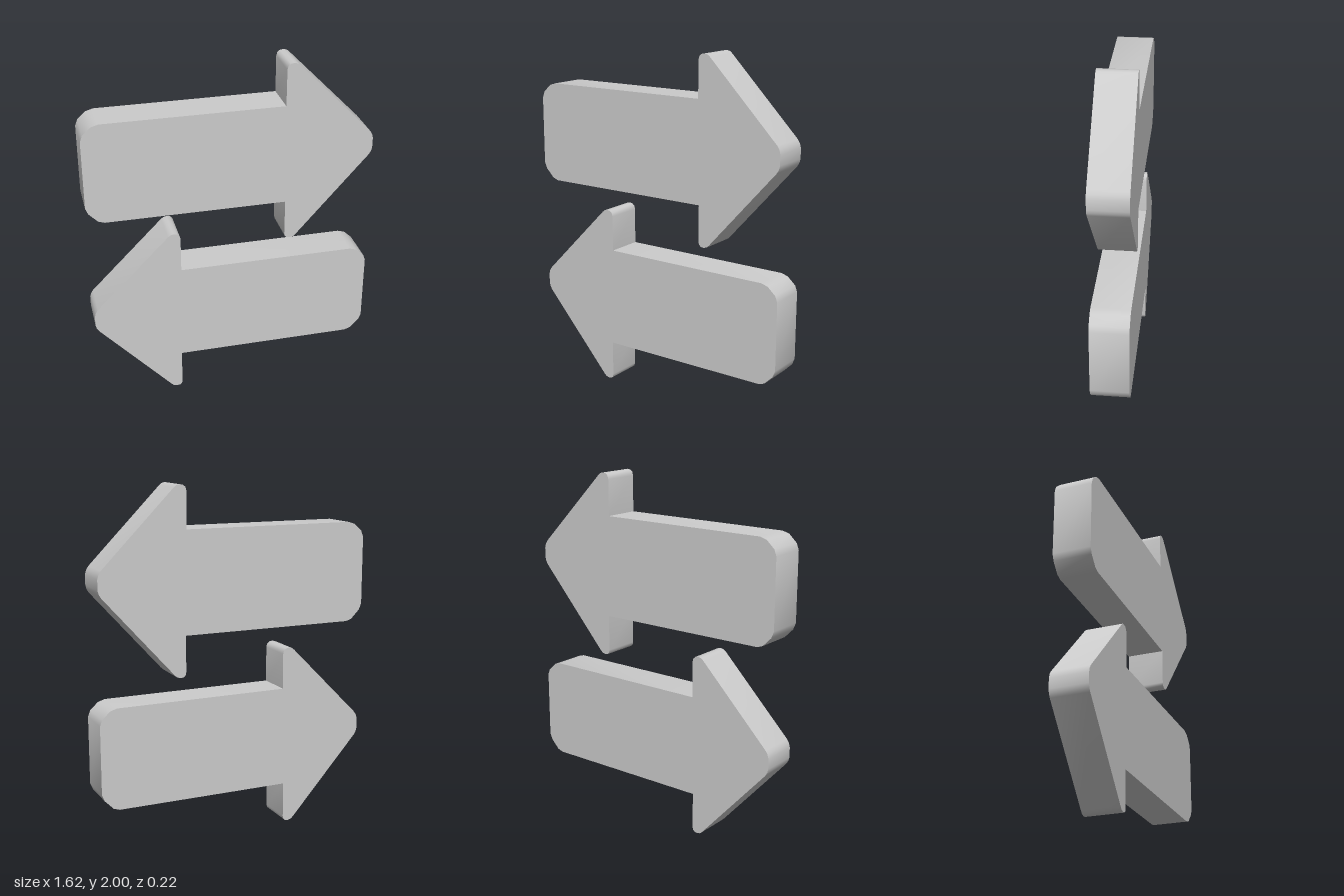
import * as THREE from 'three';
import { toCreasedNormals } from 'three/addons/utils/BufferGeometryUtils.js';

const DEPTH = 0.215;

// Outline of the arrow pointing to +x, clockwise from the lower left of the shaft
const OUTLINE = [
  // softened shaft end
  [-0.71, 1.18], [-0.745, 1.192], [-0.795, 1.243], [-0.81, 1.28],
  [-0.81, 1.67], [-0.797, 1.705], [-0.75, 1.748], [-0.71, 1.76],
  // upper barb
  [0.296, 1.76], [0.296, 1.965], [0.301, 1.985], [0.315, 1.997], [0.335, 2], [0.353, 1.996], [0.367, 1.985],
  // blunt tip
  [0.782, 1.565], [0.795, 1.545], [0.802, 1.52], [0.802, 1.462], [0.796, 1.44], [0.784, 1.42],
  // lower barb
  [0.375, 0.964], [0.36, 0.95], [0.34, 0.945], [0.322, 0.947], [0.31, 0.957], [0.306, 0.975], [0.306, 1.18],
];

// Extruded arrow; direction -1 mirrors it to point to -x
function makeArrow(name, direction, lift) {
  const points = OUTLINE.map(([x, y]) => new THREE.Vector2(x * direction, y + lift));
  const geometry = new THREE.ExtrudeGeometry(new THREE.Shape(points), { depth: DEPTH, bevelEnabled: false });
  geometry.translate(0, 0, -DEPTH / 2);
  const mesh = new THREE.Mesh(
    toCreasedNormals(geometry, THREE.MathUtils.degToRad(50)),
    new THREE.MeshStandardMaterial({ color: 0xcccccc }),
  );
  mesh.name = name;
  return mesh;
}

export function createModel() {
  const group = new THREE.Group();
  group.name = 'oppositeArrows';
  group.add(makeArrow('upperArrow', 1, 0));
  group.add(makeArrow('lowerArrow', -1, -0.942));
  // rest the lowest point on the ground
  group.children[1].geometry.translate(0, -0.003, 0);
  return group;
}
